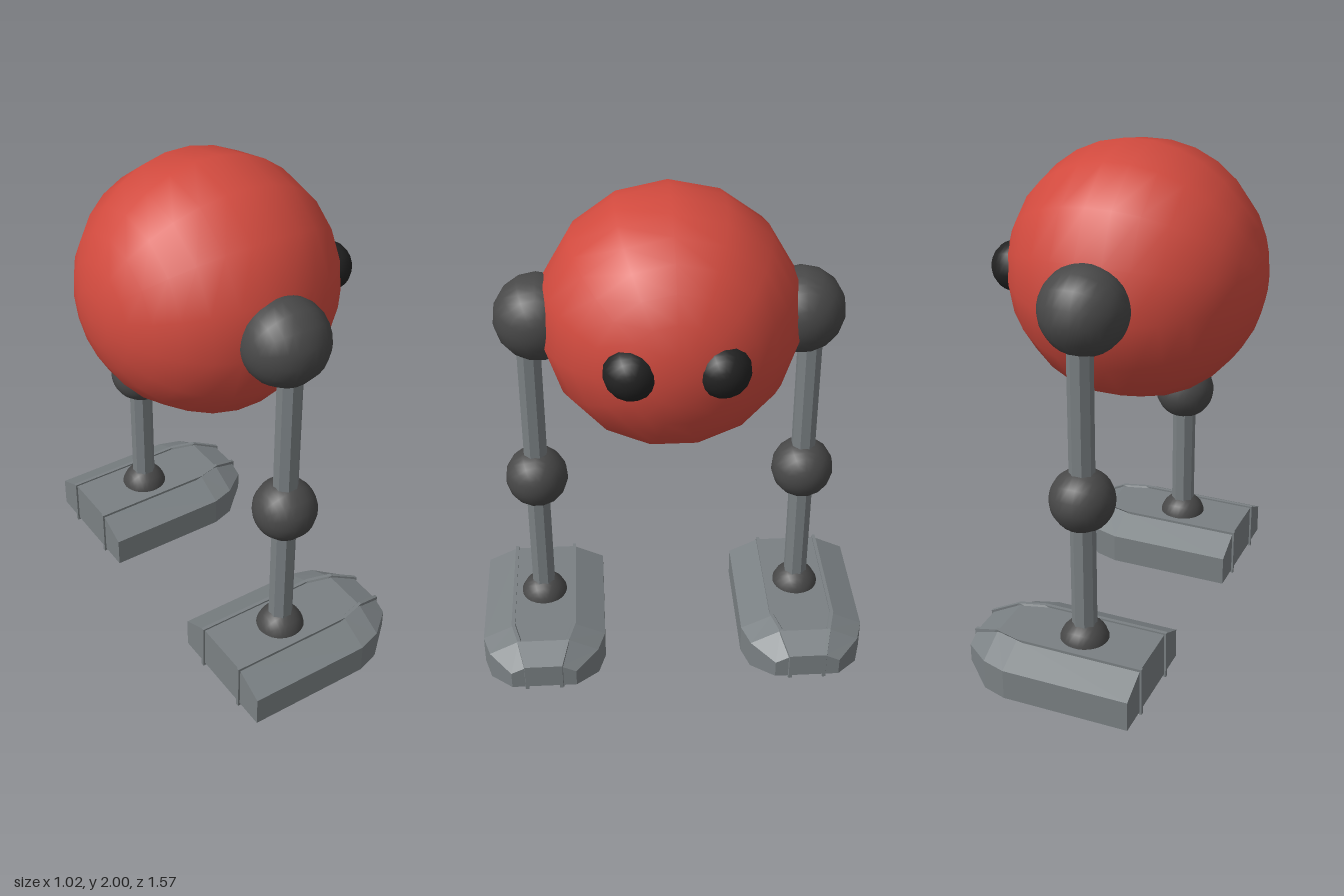
import * as THREE from 'three';

const material = (name, color, flatShading = false) => {
  const m = new THREE.MeshStandardMaterial({ color });
  m.name = name;
  m.flatShading = flatShading;
  return m;
};

const CX = -0.0175; // shared axis of body and legs
const FOOT_Z = 0.533;

// Smooth ball with its poles on the x axis
function ball(name, r, x, y, z, mat) {
  const geo = new THREE.SphereGeometry(r, 15, 15).rotateZ(-Math.PI / 2);
  const mesh = new THREE.Mesh(geo, mat);
  mesh.name = name;
  mesh.position.set(x, y, z);
  return mesh;
}

// Foot block: hexagonal cross-sections lofted from heel to toe
function footGeometry() {
  // x, top half width, side half width, top y, shoulder y, bottom y
  const sections = [
    [-0.297, 0.125, 0.25, 0.195, 0.135, 0.012],
    [0.21, 0.125, 0.25, 0.195, 0.135, 0.012],
    [0.305, 0.1, 0.22, 0.195, 0.135, 0.012],
    [0.412, 0.068, 0.13, 0.152, 0.122, 0.05],
  ].map(([x, t, w, yt, ys, yb]) =>
    [[-t, yt], [t, yt], [w, ys], [w, yb], [-w, yb], [-w, ys]].map(([z, y]) => [x, y, z]));
  const pos = [];
  const tri = (...points) => points.forEach((p) => pos.push(...p));
  for (let i = 0; i < sections.length - 1; i++) {
    for (let j = 0; j < 6; j++) {
      const k = (j + 1) % 6;
      const [a, b, c, d] = [sections[i][j], sections[i][k], sections[i + 1][k], sections[i + 1][j]];
      tri(a, b, c);
      tri(a, c, d);
    }
  }
  const heel = sections[0], toe = sections[sections.length - 1];
  for (let j = 1; j < 5; j++) {
    tri(toe[0], toe[j], toe[j + 1]);
    tri(heel[0], heel[j + 1], heel[j]);
  }
  const geo = new THREE.BufferGeometry();
  geo.setAttribute('position', new THREE.Float32BufferAttribute(pos, 3));
  geo.computeVertexNormals();
  return geo;
}

// Thin band wrapping the foot lengthwise, bending inwards at the toe
function ridgeGeometry(side) {
  const outline = [[-0.305, 0], [0.21, 0], [0.31, 0], [0.42, 0.043],
    [0.42, 0.159], [0.31, 0.202], [0.21, 0.202], [-0.305, 0.202]];
  const shape = new THREE.Shape(outline.map(([x, y]) => new THREE.Vector2(x, y)));
  const geo = new THREE.ExtrudeGeometry(shape, { depth: 0.014, bevelEnabled: false });
  const p = geo.attributes.position;
  for (let i = 0; i < p.count; i++) {
    const bend = Math.max(0, p.getX(i) - 0.21) * 0.27;
    p.setZ(i, p.getZ(i) - 0.007 + side * (0.125 - bend));
  }
  geo.computeVertexNormals();
  return geo;
}

export function createModel() {
  const red = material('red shell', 0xd14a3e);
  const grey = material('grey metal', 0x7a8083, true);
  const dark = material('dark joint', 0x484848);
  const black = material('black eye', 0x222222);

  const model = new THREE.Group();
  model.name = 'walkingBall';
  model.add(ball('body', 0.4929, CX, 1.507, 0, red));

  for (const side of [1, -1]) {
    const label = side > 0 ? 'left' : 'right';
    model.add(ball(label + 'Eye', 0.1, 0.406, 1.512, side * 0.16, black));

    // Leg with hip, knee and ankle joints
    const leg = new THREE.Group();
    leg.name = label + 'Leg';
    const z = side * FOOT_Z;
    leg.add(ball('hip', 0.165, CX, 1.512, side * 0.493, dark));
    leg.add(ball('knee', 0.124, CX, 0.789, z, dark));
    leg.add(ball('ankle', 0.097, CX, 0.176, z, dark));

    const rods = [['shin', 0.17, 0.789], ['thigh', 0.789, 1.45]];
    for (const [name, y0, y1] of rods) {
      const geo = new THREE.CylinderGeometry(0.0485, 0.0485, y1 - y0, 8).rotateY(Math.PI / 8);
      const rod = new THREE.Mesh(geo, grey);
      rod.name = name;
      rod.position.set(CX, (y0 + y1) / 2, z);
      leg.add(rod);
    }

    // Foot with two raised bands
    const foot = new THREE.Group();
    foot.name = 'foot';
    foot.position.z = z;
    const block = new THREE.Mesh(footGeometry(), grey);
    block.name = 'footBlock';
    foot.add(block);
    for (const edge of [1, -1]) {
      const ridge = new THREE.Mesh(ridgeGeometry(edge), grey);
      ridge.name = 'footRidge';
      foot.add(ridge);
    }
    leg.add(foot);
    model.add(leg);
  }
  return model;
}
